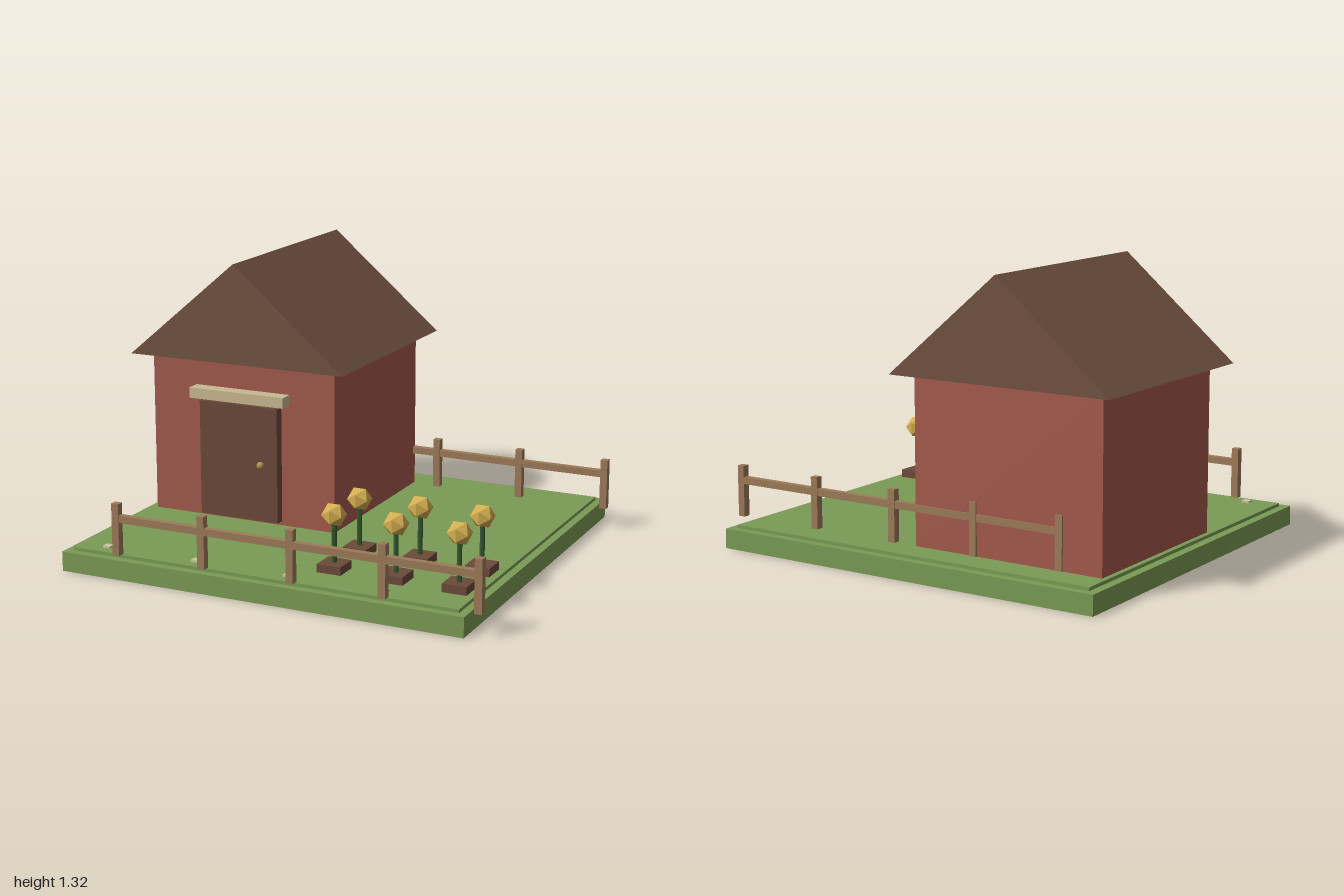
import * as THREE from 'three';

const mat = (color) => new THREE.MeshStandardMaterial({ color, flatShading: true });
const COLORS = {
  grass: mat(0x7a9a54), wall: mat(0xa3594b), roof: mat(0x6f5140), door: mat(0x6b483a),
  trim: mat(0xc8b990), fence: mat(0x9c7a58), soil: mat(0x6b4a3a), stem: mat(0x35592f),
  flower: mat(0xd4ae50), knob: mat(0xb08d45), stone: mat(0xc9c79a),
};

export function createModel() {
  const model = new THREE.Group();

  const add = (parent, name, geometry, material, x = 0, y = 0, z = 0) => {
    const mesh = new THREE.Mesh(geometry, material);
    mesh.name = name;
    mesh.position.set(x, y, z);
    parent.add(mesh);
    return mesh;
  };
  // Box given by its limits on each axis
  const box = (parent, name, material, [x0, x1], [y0, y1], [z0, z1]) =>
    add(parent, name, new THREE.BoxGeometry(x1 - x0, y1 - y0, z1 - z0), material,
      (x0 + x1) / 2, (y0 + y1) / 2, (z0 + z1) / 2);
  const group = (name) => {
    const g = new THREE.Group();
    g.name = name;
    model.add(g);
    return g;
  };

  // Ground slab with a slightly raised lawn
  const ground = 0.105;
  box(model, 'groundSlab', COLORS.grass, [-0.99, 0.93], [0, 0.09], [-0.896, 0.896]);
  box(model, 'lawn', COLORS.grass, [-0.95, 0.893], [0.09, ground], [-0.858, 0.858]);

  // House with a solid gable roof
  const house = group('house');
  box(house, 'walls', COLORS.wall, [-0.926, 0.005], [ground, 0.86], [-0.718, 0.182]);
  const gable = new THREE.Shape([
    new THREE.Vector2(-1, 0.858), new THREE.Vector2(0.08, 0.858), new THREE.Vector2(-0.46, 1.316),
  ]);
  add(house, 'roof', new THREE.ExtrudeGeometry(gable, { depth: 1.06, bevelEnabled: false }),
    COLORS.roof, 0, 0, -0.8);
  box(house, 'door', COLORS.door, [-0.66, -0.263], [0.125, 0.665], [0.18, 0.228]);
  box(house, 'doorLintel', COLORS.trim, [-0.7, -0.22], [0.677, 0.726], [0.18, 0.25]);
  add(house, 'doorKnob', new THREE.IcosahedronGeometry(0.018, 1), COLORS.knob, -0.343, 0.394, 0.239);

  // Front and back fences
  for (const [name, z] of [['frontFence', 0.862], ['backFence', -0.709]]) {
    const fence = group(name);
    for (let i = 0; i < 5; i++) {
      const x = -0.721 + i * 0.426;
      box(fence, 'fencePost', COLORS.fence, [x - 0.017, x + 0.017], [ground, 0.341], [z - 0.017, z + 0.017]);
    }
    box(fence, 'fenceRail', COLORS.fence, [-0.737, 1], [0.257, 0.289], [z - 0.015, z + 0.015]);
  }

  // Two rows of round flowers in square planters
  for (const z of [0.386, 0.641]) {
    for (const x of [0.226, 0.515, 0.803]) {
      const plant = group('flowerPlant');
      box(plant, 'planter', COLORS.soil, [x - 0.056, x + 0.056], [ground, 0.142], [z - 0.056, z + 0.056]);
      add(plant, 'stem', new THREE.CylinderGeometry(0.011, 0.011, 0.18, 6), COLORS.stem, x, 0.23, z);
      add(plant, 'flowerHead', new THREE.IcosahedronGeometry(0.056, 0), COLORS.flower, x, 0.354, z);
    }
  }

  // Small stones along the front edge
  for (let i = 0; i < 4; i++) {
    const x = -0.814 + i * 0.448;
    box(model, 'edgeStone', COLORS.stone, [x - 0.018, x + 0.018], [0.1, 0.114], [0.775, 0.811]);
  }

  return model;
}
